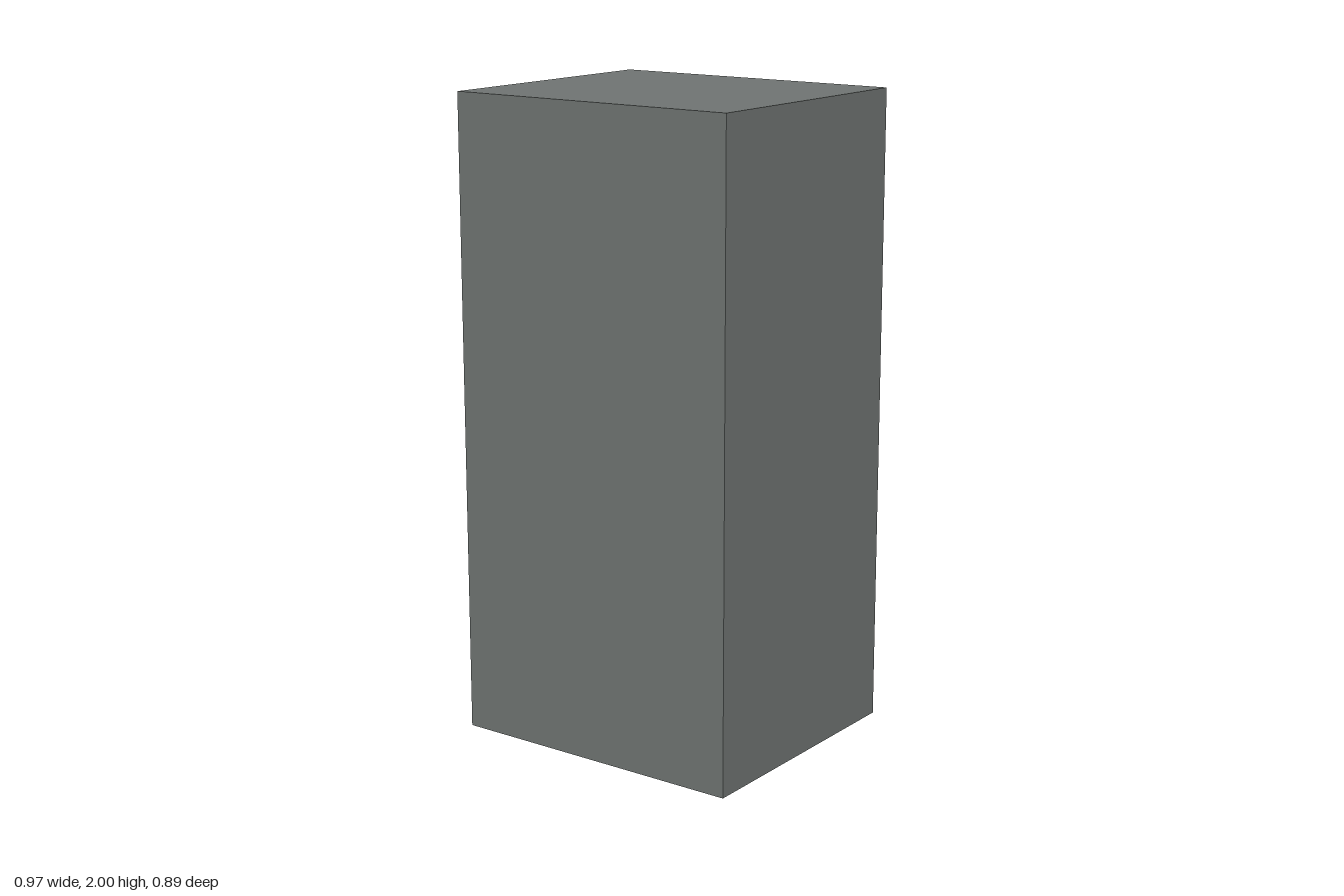
import * as THREE from 'three';

export function createModel() {
  const model = new THREE.Group();
  model.name = 'cabinet';
  const bodyMaterial = new THREE.MeshStandardMaterial({ color: 0x707573 });
  const handleMaterial = new THREE.MeshStandardMaterial({ color: 0x4c504f });

  const addBox = (name, size, position, material) => {
    const mesh = new THREE.Mesh(new THREE.BoxGeometry(...size), material);
    mesh.name = name;
    mesh.position.set(...position);
    model.add(mesh);
  };

  // Plain cabinet body
  addBox('cabinetBody', [0.97, 2, 0.84], [0, 1, 0.025], bodyMaterial);

  // Four evenly spaced drawer handles on the back face
  for (let i = 0; i < 4; i++) {
    addBox(`drawerHandle${i + 1}`, [0.8, 0.073, 0.052], [0, 0.362 + i * 0.466, -0.419], handleMaterial);
  }

  return model;
}
